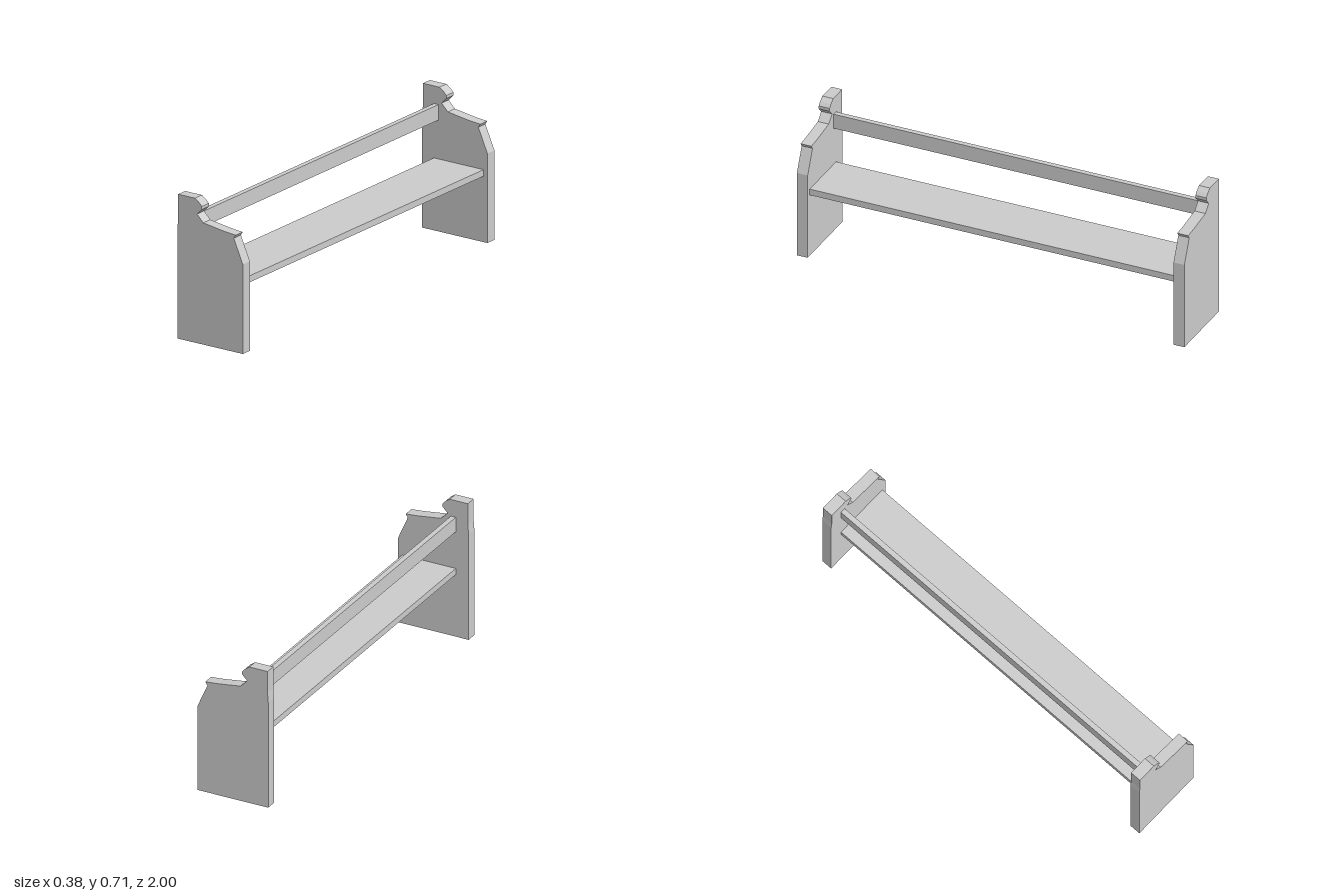
import * as THREE from 'three';

export function createModel() {
  const group = new THREE.Group();
  const material = new THREE.MeshStandardMaterial({ color: 0xcccccc, flatShading: true });

  // Side profile of an end panel: tall back post, scrolled notch, sloping armrest
  const profile = [
    [-0.188, 0], [0.187, 0], [0.187, 0.441], [0.135, 0.56], [0.146, 0.577],
    [0.08, 0.583], [-0.04, 0.6], [-0.076, 0.636], [-0.049, 0.664], [-0.049, 0.679],
    [-0.064, 0.695], [-0.088, 0.712], [-0.184, 0.712], [-0.184, 0.6], [-0.188, 0.55],
  ].map(([x, y]) => new THREE.Vector2(x, y));
  const thickness = 0.056;
  const inner = 1 - thickness;
  const panel = new THREE.ExtrudeGeometry(new THREE.Shape(profile), {
    depth: thickness, bevelEnabled: false,
  });

  // The two identical end panels
  for (const [name, z] of [['frontEndPanel', inner], ['backEndPanel', -1]]) {
    const mesh = new THREE.Mesh(panel, material);
    mesh.name = name;
    mesh.position.z = z;
    group.add(mesh);
  }

  // Boards spanning between the panels
  function board(name, x0, x1, y0, y1) {
    const mesh = new THREE.Mesh(new THREE.BoxGeometry(x1 - x0, y1 - y0, inner * 2), material);
    mesh.name = name;
    mesh.position.set((x0 + x1) / 2, (y0 + y1) / 2, 0);
    group.add(mesh);
  }
  board('seat', -0.12, 0.165, 0.325, 0.357);
  board('backRail', -0.12, -0.094, 0.549, 0.625);

  return group;
}
